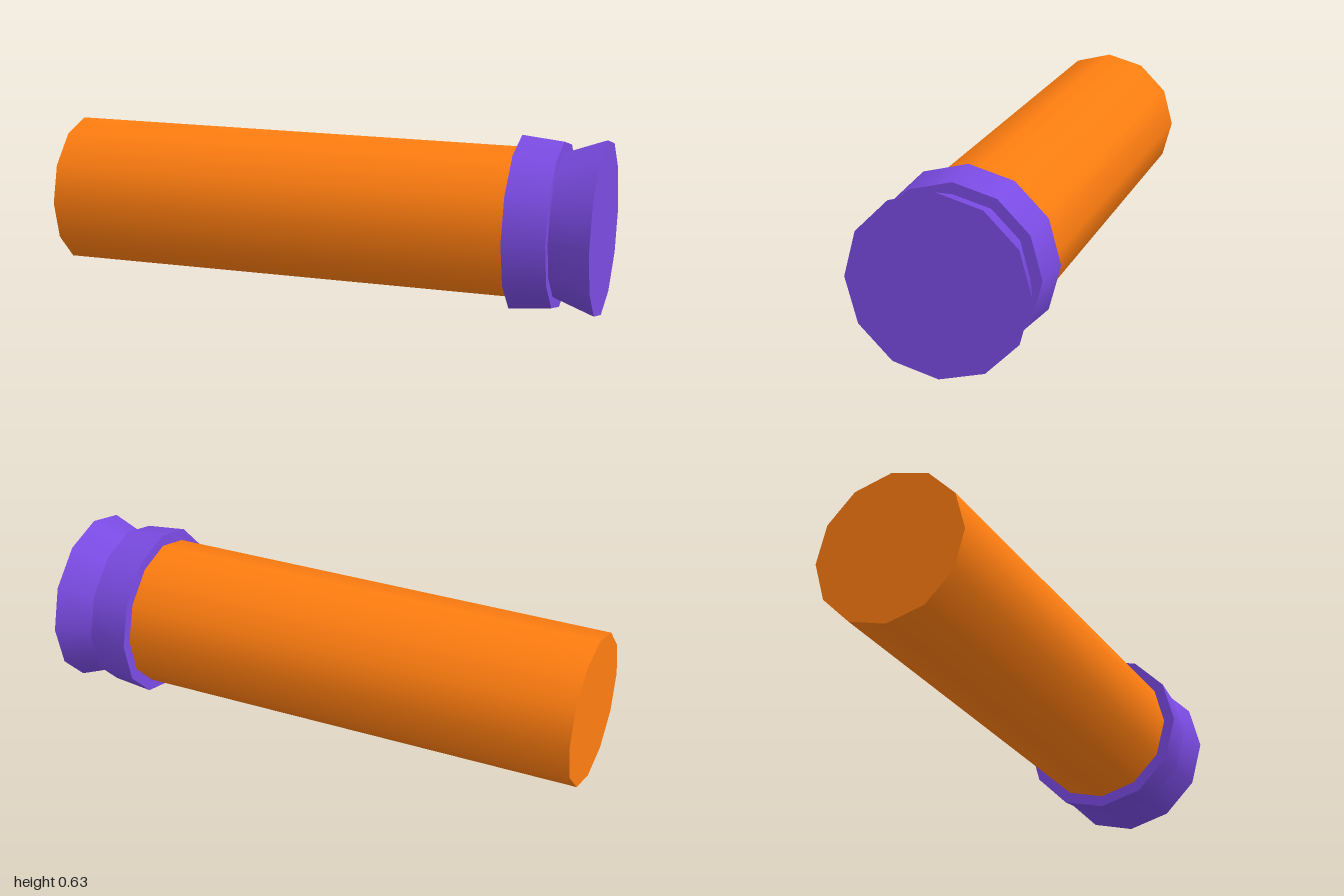
import * as THREE from 'three';

const SIDES = 12;
const AXIS_Y = 0.316;

export function createModel() {
  const group = new THREE.Group();
  group.name = 'cartridge';
  const orange = new THREE.MeshStandardMaterial({ color: 0xff7d10 });
  const purple = new THREE.MeshStandardMaterial({ color: 0x7a4be2 });

  // Capped twelve-sided section along x, from x0 (radius r0) to x1 (radius r1)
  function addSection(name, x0, x1, r0, r1, material) {
    const geometry = new THREE.CylinderGeometry(r1, r0, x1 - x0, SIDES);
    geometry.rotateZ(-Math.PI / 2);
    const mesh = new THREE.Mesh(geometry, material);
    mesh.name = name;
    mesh.position.set((x0 + x1) / 2, AXIS_Y, 0);
    group.add(mesh);
  }

  // Long straight body
  addSection('body', -1, 0.7, 0.274, 0.274, orange);
  // Slightly tapered collar
  addSection('collar', 0.7, 0.85, 0.316, 0.301, purple);
  // End cap flaring outwards
  addSection('flaredCap', 0.85, 1, 0.261, 0.316, purple);

  return group;
}
